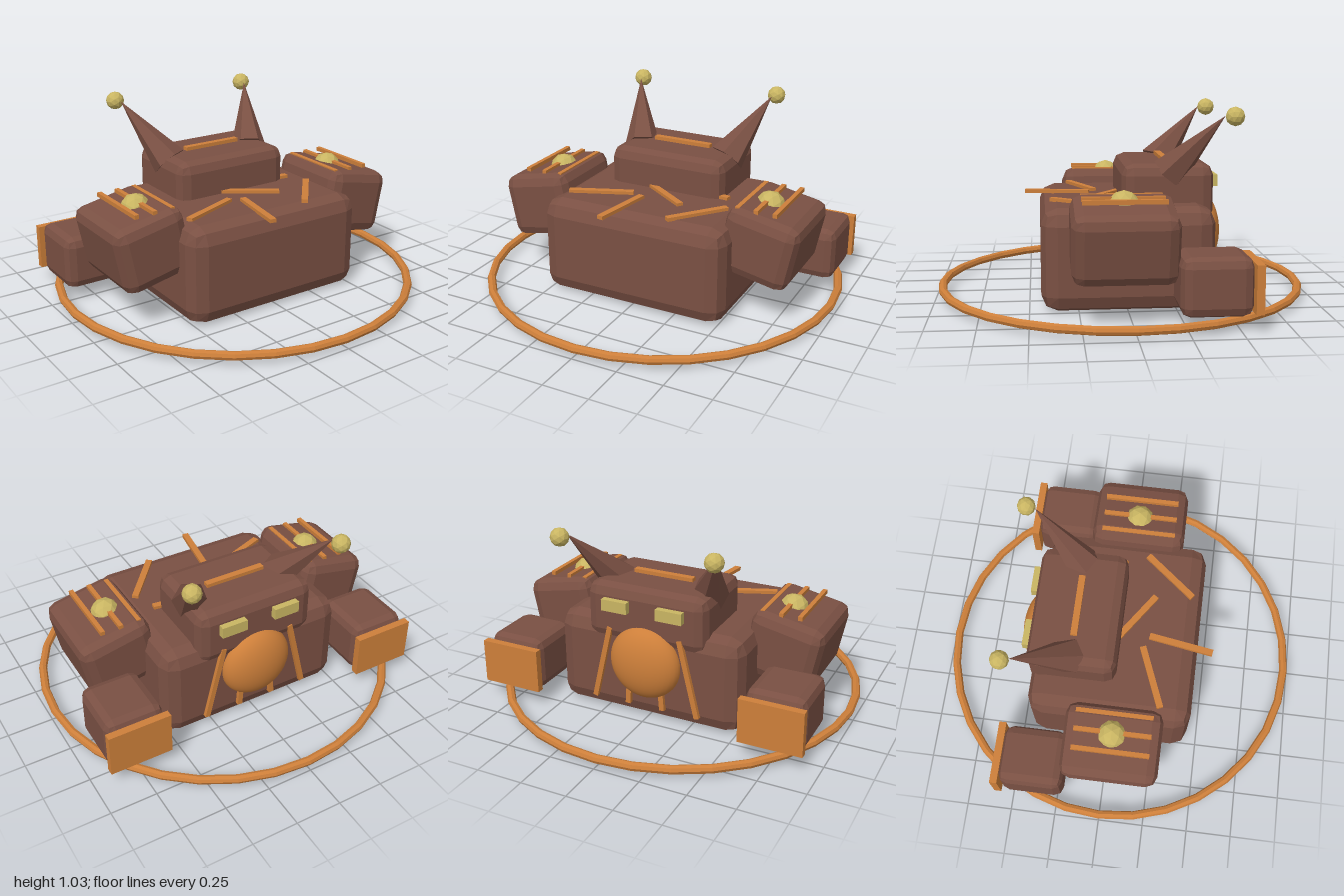
import * as THREE from 'three';
import { RoundedBoxGeometry } from 'three/addons/geometries/RoundedBoxGeometry.js';

const brown = new THREE.MeshStandardMaterial({ color: 0x7a5043 });
brown.name = 'brown hide';
const copper = new THREE.MeshStandardMaterial({ color: 0xcd7f3a });
copper.name = 'copper';
const gold = new THREE.MeshStandardMaterial({ color: 0xc9b562 });
gold.name = 'pale gold';

// Faceted copy of a geometry
function flat(geometry) {
  const g = geometry.index ? geometry.toNonIndexed() : geometry;
  g.computeVertexNormals();
  return g;
}

export function createModel() {
  const model = new THREE.Group();
  model.name = 'hornedBeast';

  function add(name, geometry, material, x, y, z) {
    const mesh = new THREE.Mesh(geometry, material);
    mesh.name = name;
    mesh.position.set(x, y, z);
    model.add(mesh);
    return mesh;
  }
  const block = (name, w, h, d, r, x, y, z) =>
    add(name, flat(new RoundedBoxGeometry(w, h, d, 1, r)), brown, x, y, z);
  const box = (name, material, w, h, d, x, y, z) =>
    add(name, new THREE.BoxGeometry(w, h, d), material, x, y, z);

  // Torso and head
  block('body', 1.06, 0.53, 0.89, 0.085, 0, 0.265, -0.005);
  block('head', 0.68, 0.31, 0.48, 0.06, 0, 0.575, -0.225);
  box('browBar', copper, 0.34, 0.03, 0.035, 0, 0.735, -0.225);

  // Ground ring
  const ring = add('groundRing', flat(new THREE.TorusGeometry(0.976, 0.023, 8, 32)), copper, 0, 0.045, 0);
  ring.rotation.x = Math.PI / 2;

  // Round chest boss
  const boss = add('chestBoss', new THREE.SphereGeometry(0.2, 32, 24), copper, 0, 0.33, -0.45);
  boss.scale.z = 0.5;

  // Scattered bars on the back: x, z of both ends
  const backBars = [
    [-0.45, 0.27, -0.12, 0.14],
    [-0.11, 0.52, -0.055, 0.17],
    [-0.11, -0.02, 0.18, 0.18],
    [0.2, 0.38, 0.42, 0.11],
    [0.02, -0.06, 0.375, -0.015],
  ];
  for (const [x1, z1, x2, z2] of backBars) {
    const length = Math.hypot(x2 - x1, z2 - z1);
    const bar = box('backBar', copper, length, 0.02, 0.035, (x1 + x2) / 2, 0.537, (z1 + z2) / 2);
    bar.rotation.y = -Math.atan2(z2 - z1, x2 - x1);
  }

  for (const s of [-1, 1]) {
    // Shoulder with its dome and bars
    const shoulder = block('shoulder', 0.4, 0.36, 0.52, 0.06, s * 0.65, 0.408, 0.038);
    shoulder.rotation.z = -s * 0.2;
    add('shoulderDome', flat(new THREE.IcosahedronGeometry(0.08, 1)), gold, s * 0.63, 0.565, 0.035);
    for (const x of [0.53, 0.63, 0.732]) {
      box('shoulderBar', copper, 0.024, 0.022, 0.41, s * x, 0.602, 0.038);
    }

    // Forearm and fist plate
    block('forearm', 0.32, 0.29, 0.35, 0.05, s * 0.75, 0.213, -0.385);
    box('fistPlate', copper, 0.34, 0.24, 0.04, s * 0.75, 0.207, -0.58);

    // Horn and its ball
    const base = new THREE.Vector3(s * 0.265, 0.68, -0.235);
    const tip = new THREE.Vector3(s * 0.415, 0.985, -0.5);
    const axis = tip.clone().sub(base);
    const horn = add('horn', flat(new THREE.ConeGeometry(0.1, axis.length(), 6)), brown, 0, 0, 0);
    horn.position.copy(base).lerp(tip, 0.5);
    horn.quaternion.setFromUnitVectors(new THREE.Vector3(0, 1, 0), axis.normalize());
    add('hornBall', flat(new THREE.IcosahedronGeometry(0.05, 1)), gold, s * 0.425, 0.982, -0.548);

    // Eye
    box('eye', gold, 0.145, 0.062, 0.045, s * 0.155, 0.63, -0.477);

    // Slanted chest ribs: top x, bottom x
    for (const [xTop, xBottom] of [[0.2, 0.3], [0.07, 0.1]]) {
      const rib = box('chestRib', copper, 0.028, Math.hypot(xBottom - xTop, 0.42), 0.03,
        s * (xTop + xBottom) / 2, 0.285, -0.456);
      rib.rotation.z = s * Math.atan2(xBottom - xTop, 0.42);
    }
  }
  return model;
}
